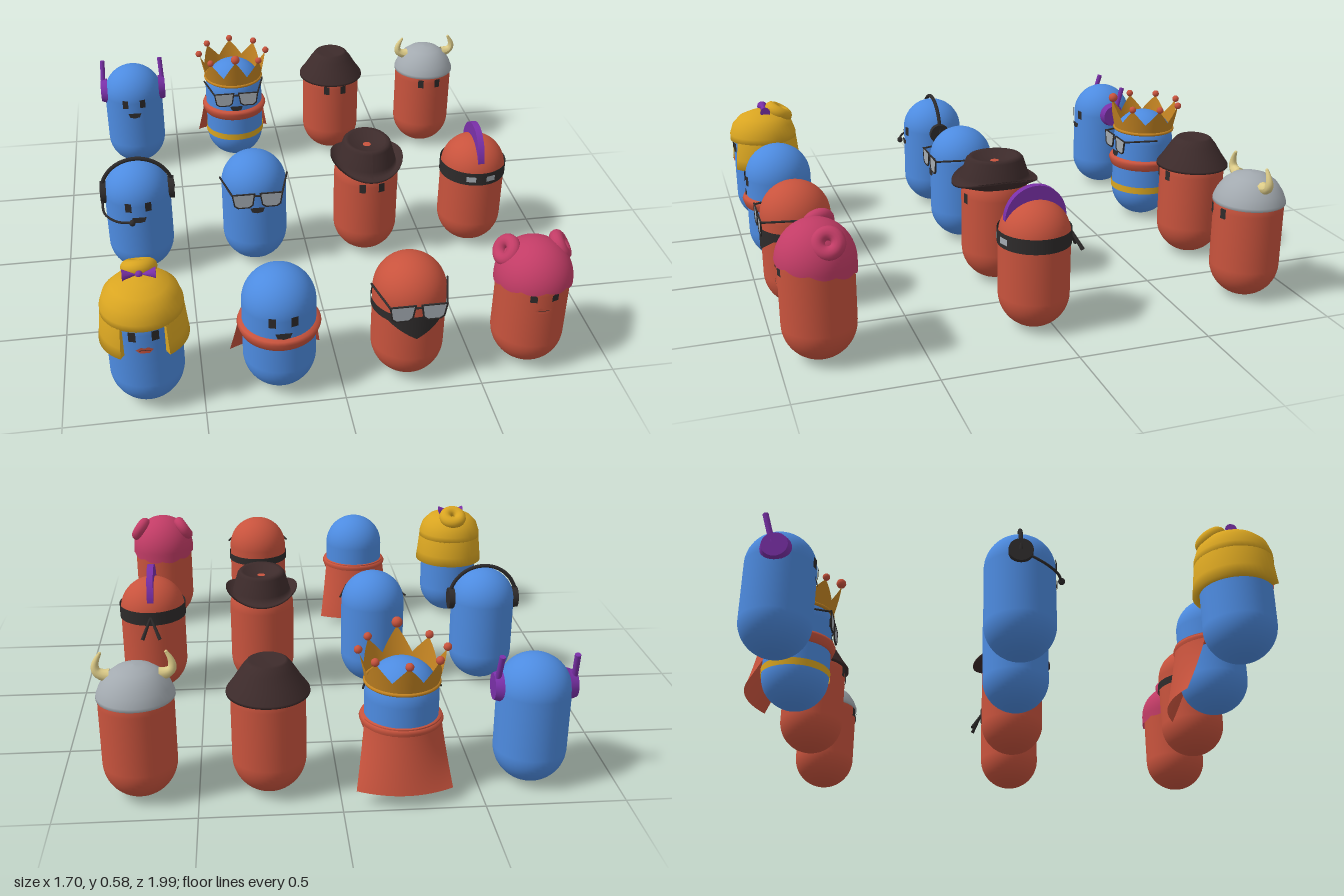
import * as THREE from 'three';
import { ParametricGeometry } from 'three/addons/geometries/ParametricGeometry.js';

const paint = (name, color) => new THREE.MeshStandardMaterial({ name, color, side: THREE.DoubleSide });
const blue = paint('blue', 0x4d8be0), red = paint('red', 0xc8533d), yellow = paint('yellow', 0xd9a521),
  gold = paint('crownGold', 0xc48422), purple = paint('purple', 0x7a30a8), black = paint('black', 0x2e2b2b),
  brown = paint('brown', 0x3d2b2b), pink = paint('pink', 0xc23c66), grey = paint('grey', 0xa3aab0),
  cream = paint('cream', 0xdccb88);

const R = 0.132, HEAD = 0.358; // body radius and centre height of the head dome
const V = (x, y, z) => new THREE.Vector3(x, y, z);
const mix = THREE.MathUtils.lerp;

function add(parent, name, geo, mat, x = 0, y = 0, z = 0) {
  const m = new THREE.Mesh(geo, mat);
  m.name = name;
  m.position.set(x, y, z);
  parent.add(m);
  return m;
}
const lathe = (pts, seg = 40, start = 0, len = Math.PI * 2) =>
  new THREE.LatheGeometry(pts.map(p => new THREE.Vector2(...p)), seg, start, len);
const shapeOf = pts => new THREE.Shape(pts.map(p => new THREE.Vector2(...p)));
const surface = (fn, nu, nv) => new ParametricGeometry((u, v, t) => t.set(...fn(u, v)), nu, nv);

// Straight round bar between two points
function bar(parent, name, mat, a, b, r0, r1 = r0) {
  const d = b.clone().sub(a);
  const m = add(parent, name, new THREE.CylinderGeometry(r1, r0, d.length(), 10), mat);
  m.position.copy(a).add(b).multiplyScalar(0.5);
  m.quaternion.setFromUnitVectors(V(0, 1, 0), d.normalize());
}
// Thin flat shape wrapped onto the front of the body
function decal(parent, name, mat, pts, x, y, r = R + 0.005) {
  const g = new THREE.ShapeGeometry(shapeOf(pts));
  const p = g.attributes.position;
  for (let i = 0; i < p.count; i++) {
    const a = (p.getX(i) + x) / r;
    p.setXYZ(i, r * Math.sin(a), p.getY(i) + y, r * Math.cos(a));
  }
  g.computeVertexNormals();
  add(parent, name, g, mat);
}
function eyes(g, angry = false) {
  for (const s of [-1, 1])
    decal(g, 'eye', black, [[-0.013, -0.02], [0.013, -0.02], [0.013, angry && s < 0 ? 0.004 : 0.02],
      [-0.013, angry && s > 0 ? 0.004 : 0.02]], s * 0.04, 0.356);
}
const smile = g => decal(g, 'smile', black,
  [[-0.03, 0.01], [-0.022, -0.01], [0, -0.014], [0.022, -0.01], [0.03, 0.01]], 0, 0.3);
function lips(g) {
  decal(g, 'lips', red, [[-0.031, 0], [-0.015, -0.013], [0.015, -0.013], [0.031, 0], [0.012, 0.012],
    [0, 0.008], [-0.012, 0.012]], 0, 0.3);
  decal(g, 'lipLine', black, [[-0.02, -0.0012], [0.02, -0.0012], [0.02, 0.0012], [-0.02, 0.0012]], 0, 0.3, R + 0.007);
}
function glasses(g) {
  const y = 0.352;
  const outline = k => [[-0.044 * k, 0.028 * k], [-0.036 * k, -0.022 * k], [-0.022 * k, -0.033 * k],
    [0.022 * k, -0.033 * k], [0.036 * k, -0.022 * k], [0.044 * k, 0.028 * k]];
  for (const s of [-1, 1]) {
    const rim = shapeOf(outline(1.08));
    rim.holes.push(shapeOf(outline(0.94)));
    add(g, 'rim', new THREE.ExtrudeGeometry(rim, { depth: 0.006, bevelEnabled: false }), black, s * 0.056, y, 0.136);
    add(g, 'lens', new THREE.ShapeGeometry(shapeOf(outline(0.96))), grey, s * 0.056, y, 0.14);
    bar(g, 'temple', black, V(s * 0.1, y + 0.025, 0.138), V(s * 0.138, y + 0.03, -0.005), 0.004);
  }
  bar(g, 'bridge', black, V(-0.016, y + 0.018, 0.139), V(0.016, y + 0.018, 0.139), 0.004);
}
function cape(g, hem) {
  add(g, 'collar', lathe([[0.131, 0.238], [0.14, 0.24], [0.15, 0.268], [0.145, 0.28], [0.131, 0.285]]), red);
  add(g, 'cape', surface((u, v) => {
    const k = 1 - v, s = u * 2 - 1, a = s * 1.25, e = k ** 1.2;
    return [-mix(0.143 * Math.sin(a), 0.17 * s, e), mix(0.285, hem, k),
      mix(-0.143 * Math.cos(a), -0.187 + 0.045 * s * s, e)];
  }, 24, 12), red);
}

// Bob with fringe opening, bun and bow
function bob(g) {
  add(g, 'hairTop', lathe([[0.132, 0.385], [0.145, 0.385], [0.144, 0.41], [0.13, 0.452], [0.098, 0.484],
    [0.05, 0.504], [0.001, 0.508]]), yellow);
  const loop = [[0.133, 0.268], [0.158, 0.268], [0.153, 0.31], [0.145, 0.387], [0.133, 0.387], [0.133, 0.268]];
  const gap = 0.56;
  add(g, 'hairSides', lathe(loop, 40, gap, Math.PI * 2 - 2 * gap), yellow);
  for (const s of [-1, 1])
    add(g, 'hairEnd', new THREE.ShapeGeometry(shapeOf(loop.slice(0, 5))), yellow).rotation.y = s * gap - Math.PI / 2;
  add(g, 'bun', new THREE.TorusGeometry(0.036, 0.028, 14, 28), yellow, 0, 0.495, -0.075).rotation.x = -2.1;
  add(g, 'bowKnot', new THREE.SphereGeometry(0.013, 12, 8), purple, 0, 0.51, -0.01);
  for (const s of [-1, 1])
    add(g, 'bowLoop', new THREE.ConeGeometry(0.022, 0.05, 12), purple, s * 0.032, 0.51, -0.01).rotation.z = s * Math.PI / 2;
}
// Scalloped cap of hair with two ring buns
function ringBuns(g) {
  add(g, 'hair', surface((u, v) => {
    const p = u * Math.PI * 2, edge = 0.353 + 0.026 * Math.cos(p) - 0.01 * Math.abs(Math.sin(p * 5));
    const y = mix(edge, 0.51, Math.sin(v * Math.PI / 2));
    const r = 0.141 * Math.sqrt(Math.max(0, 1 - (Math.max(0, y - 0.36) / 0.15) ** 2));
    return [r * Math.sin(p), y, r * Math.cos(p)];
  }, 80, 20), pink);
  for (const s of [-1, 1])
    add(g, 'ringBun', new THREE.TorusGeometry(0.034, 0.025, 14, 28), pink, s * 0.1, 0.458, -0.03)
      .quaternion.setFromUnitVectors(V(0, 0, 1), V(s * 0.78, 0.5, 0.2).normalize());
}
// Face cloth tied round the head with a point in front
function bandana(g) {
  add(g, 'bandana', surface((u, v) => {
    const a = (u * 2 - 1) * Math.PI;
    const low = 0.295 - 0.065 * Math.max(0, 1 - Math.abs(a) / 0.8);
    return [0.137 * Math.sin(a), mix(low, 0.328, v), 0.137 * Math.cos(a)];
  }, 72, 4), black);
}
function headset(g) {
  add(g, 'headband', new THREE.TorusGeometry(0.143, 0.008, 10, 40, Math.PI), black, 0, 0.36, 0);
  for (const s of [-1, 1])
    add(g, 'earCup', new THREE.CylinderGeometry(0.045, 0.045, 0.026, 24), black, s * 0.135, 0.36, 0).rotation.z = Math.PI / 2;
  const path = new THREE.CatmullRomCurve3([V(-0.143, 0.34, 0.03), V(-0.135, 0.31, 0.085), V(-0.09, 0.298, 0.13), V(-0.03, 0.298, 0.15)]);
  add(g, 'micBoom', new THREE.TubeGeometry(path, 20, 0.005, 8), black);
  add(g, 'mic', new THREE.SphereGeometry(0.013, 12, 10), black, -0.028, 0.298, 0.15);
}
function antennaCups(g) {
  for (const s of [-1, 1]) {
    add(g, 'earCup', new THREE.CylinderGeometry(0.048, 0.058, 0.03, 24), purple, s * 0.133, 0.37, 0).rotation.z = -s * Math.PI / 2;
    bar(g, 'antenna', purple, V(s * 0.138, 0.38, -0.01), V(s * 0.132, 0.503, -0.045), 0.011);
  }
}
// Pinched hat with side brims curled up
function curledHat(g) {
  const geo = lathe([[0.12, 0.402], [0.148, 0.404], [0.148, 0.412], [0.124, 0.413], [0.117, 0.435], [0.098, 0.5],
    [0.088, 0.511], [0.074, 0.508], [0.05, 0.493], [0.001, 0.487]], 48);
  const p = geo.attributes.position;
  for (let i = 0; i < p.count; i++) {
    const x = p.getX(i), z = p.getZ(i);
    if (Math.hypot(x, z) > 0.13) p.setY(i, p.getY(i) + 0.035 * (x / 0.148) ** 2);
    p.setZ(i, z * 1.16);
  }
  geo.computeVertexNormals();
  add(g, 'curledHat', geo, brown);
}
const slopedHat = g => add(g, 'slopedHat', lathe([[0.128, 0.385], [0.147, 0.383], [0.146, 0.392], [0.122, 0.425],
  [0.092, 0.473], [0.072, 0.498], [0.063, 0.503], [0.055, 0.497], [0.001, 0.497]]), brown);
// Eye band with crest and loose ties
function masked(g) {
  add(g, 'eyeBand', new THREE.CylinderGeometry(0.136, 0.136, 0.056, 40, 1, true), black, 0, 0.358, 0);
  for (const s of [-1, 1]) {
    decal(g, 'eyeSlit', grey, [[-0.02, -0.012], [0.02, -0.012], [0.02, 0.012], [-0.02, 0.012]], s * 0.042, 0.358, 0.139);
    bar(g, 'bandTie', black, V(0, 0.365, -0.132), V(s * 0.035, 0.285, -0.175), 0.005, 0.008);
  }
  const crest = new THREE.Shape().absellipse(0, 0, 0.116, 0.122, 0, Math.PI);
  const geo = new THREE.ExtrudeGeometry(crest, { depth: 0.026, bevelEnabled: false, curveSegments: 32 });
  add(g, 'crest', geo.translate(0, 0, -0.013).rotateY(Math.PI / 2), purple, 0, 0.42, 0);
}
function crown(g) {
  add(g, 'crown', surface((u, v) => {
    const p = u * Math.PI * 2, w = (u * 8 + 0.5) % 1;
    const t = Math.abs(w - 0.5) * 2, front = u < 0.06 || u > 0.94;
    const h = v * mix(front ? 0.14 : 0.115, 0.05, t), r = 0.129 + h * 0.21;
    return [r * Math.sin(p), 0.405 + h, r * Math.cos(p)];
  }, 96, 6), gold);
  add(g, 'crownBand', new THREE.TorusGeometry(0.13, 0.007, 10, 48), gold, 0, 0.41, 0).rotation.x = Math.PI / 2;
  for (let i = 0; i < 8; i++) {
    const a = i * Math.PI / 4;
    add(g, 'crownBall', new THREE.SphereGeometry(i ? 0.015 : 0.02, 14, 10), red,
      0.156 * Math.sin(a), i ? 0.528 : 0.56, 0.156 * Math.cos(a));
  }
  add(g, 'belt', new THREE.CylinderGeometry(0.136, 0.136, 0.03, 40, 1, true), yellow, 0, 0.145, 0);
}
function hornedHelmet(g) {
  add(g, 'helmet', lathe([[0.131, 0.383], [0.137, 0.383], [0.136, 0.395], [0.124, 0.425], [0.1, 0.46], [0.07, 0.483],
    [0.035, 0.495], [0.001, 0.498]]), grey);
  for (const s of [-1, 1]) {
    const curve = new THREE.QuadraticBezierCurve3(V(s * 0.085, 0.46, 0), V(s * 0.16, 0.465, 0), V(s * 0.112, 0.54, 0.005));
    const geo = new THREE.TubeGeometry(curve, 16, 0.024, 12);
    const p = geo.attributes.position, q = new THREE.Vector3();
    for (let i = 0; i < p.count; i++) { // taper to a blunt tip
      const t = Math.floor(i / 13) / 16;
      q.fromBufferAttribute(p, i).lerp(curve.getPointAt(t), t * 0.75);
      p.setXYZ(i, q.x, q.y, q.z);
    }
    geo.computeVertexNormals();
    add(g, 'horn', geo, cream);
    add(g, 'hornTip', new THREE.SphereGeometry(0.0065, 10, 8), cream, s * 0.112, 0.54, 0.005);
  }
}

export function createModel() {
  const model = new THREE.Group();
  const plain = g => { eyes(g); smile(g); };
  // Rows from front to back, each from the right to the left
  const rows = [
    [0.85, [
      ['bobFigure', blue, g => { eyes(g); lips(g); bob(g); }],
      ['capeFigure', blue, g => { plain(g); cape(g, 0.028); }],
      ['bandanaFigure', red, g => { glasses(g); bandana(g); }],
      ['ringBunFigure', red, g => { eyes(g, true); lips(g); ringBuns(g); }]]],
    [0.063, [
      ['headsetFigure', blue, g => { plain(g); headset(g); }],
      ['glassesFigure', blue, g => { plain(g); glasses(g); }],
      ['curledHatFigure', red, g => { eyes(g); curledHat(g); }],
      ['maskedFigure', red, masked]]],
    [-0.807, [
      ['antennaFigure', blue, g => { plain(g); antennaCups(g); }],
      ['crownFigure', blue, g => { plain(g); glasses(g); cape(g, 0.05); crown(g); }],
      ['slopedHatFigure', red, g => { eyes(g); slopedHat(g); }],
      ['hornedFigure', red, g => { eyes(g); hornedHelmet(g); }]]],
  ];
  const columns = [-0.692, -0.22, 0.248, 0.703];
  for (const [z, figures] of rows) figures.forEach(([name, mat, dress], i) => {
    const g = new THREE.Group();
    g.name = name;
    g.position.set(columns[i], 0, z);
    add(g, 'body', new THREE.CapsuleGeometry(R, HEAD - R, 16, 40), mat, 0, (HEAD + R) / 2, 0);
    dress(g);
    model.add(g);
  });
  return model;
}
